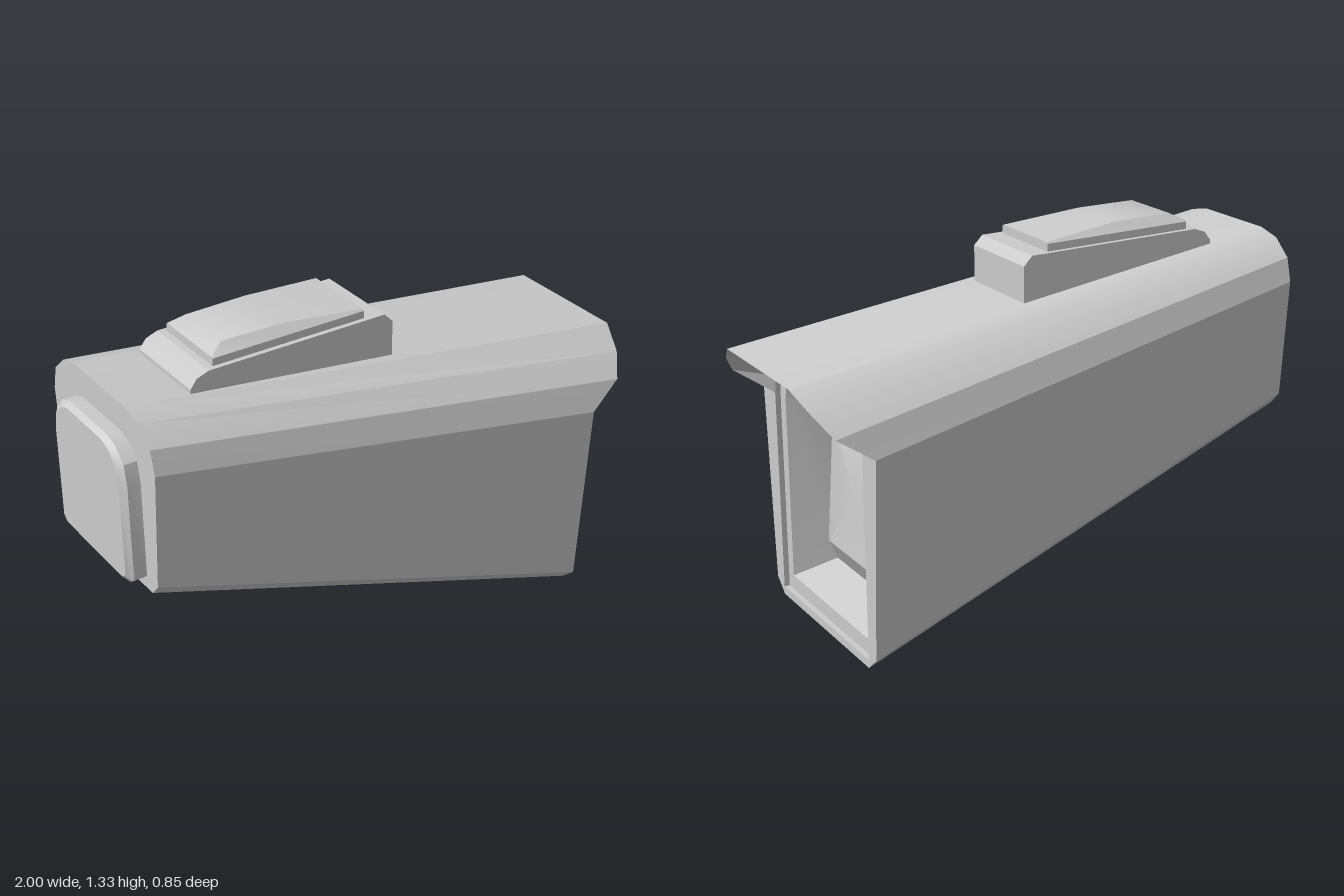
import * as THREE from 'three';
import { toCreasedNormals } from 'three/addons/utils/BufferGeometryUtils.js';

const grey = new THREE.MeshStandardMaterial({ color: 0xcccccc });

// Half section [z, y, x?] running bottom to top, mirrored into a full section.
function section(x, half) {
  const left = half.map(([z, y, px = x]) => [px, y, z]);
  return [...left, ...left.slice().reverse().map(([a, b, c]) => [a, b, -c])];
}

// A section collapsed to one point, used to cap an end.
const tip = (n, x, y) => Array.from({ length: n }, () => [x, y, 0]);

// Skin consecutive sections; keep(j) picks which strips around the section are built.
function loft(name, rings, crease = 0.5, keep = () => true) {
  const pos = [];
  const tri = (a, b, c) => {
    const u = new THREE.Vector3(...b).sub(new THREE.Vector3(...a));
    const v = new THREE.Vector3(...c).sub(new THREE.Vector3(...a));
    if (u.cross(v).length() > 1e-8) pos.push(...a, ...b, ...c);
  };
  for (let i = 0; i + 1 < rings.length; i++) {
    const a = rings[i], b = rings[i + 1], n = a.length;
    for (let j = 0; j < n; j++) {
      if (!keep(j)) continue;
      const k = (j + 1) % n;
      tri(a[j], a[k], b[k]);
      tri(a[j], b[k], b[j]);
    }
  }
  const geo = new THREE.BufferGeometry();
  geo.setAttribute('position', new THREE.Float32BufferAttribute(pos, 3));
  const mesh = new THREE.Mesh(toCreasedNormals(geo, crease), grey);
  mesh.name = name;
  return mesh;
}

export function createModel() {
  const group = new THREE.Group();
  group.name = 'cameraHousing';

  // Tapering outer shell; the front edge of the roof reaches forward as a hood
  const front = section(0.795, [
    [0.33, 0.005], [0.385, 0.055], [0.425, 0.78],
    [0.4, 0.865, 0.92], [0.335, 0.935, 0.968], [0.24, 1.0, 1.0],
  ]);
  const back = section(-0.935, [
    [0.27, 0.6], [0.31, 0.645], [0.34, 1.08],
    [0.318, 1.165], [0.25, 1.225], [0.165, 1.245],
  ]);
  const isRoof = (j) => j >= 3 && j <= 7;
  group.add(loft('shellSides', [front, back], 0.1, (j) => !isRoof(j)));
  group.add(loft('shellRoof', [front, back], 0.55, isRoof));

  // Window frame, underside of the hood and the recess behind it
  const frameHalf = [
    [0.33, 0.035], [0.33, 0.05], [0.33, 0.78], [0.315, 0.845], [0.28, 0.885], [0.23, 0.9],
  ];
  const frame = section(0.795, frameHalf);
  const frameStep = section(0.775, frameHalf);
  const mouth = section(0.775, [
    [0.29, 0.09], [0.29, 0.1], [0.29, 0.77], [0.275, 0.82], [0.245, 0.85], [0.2, 0.86],
  ]);
  const recess = section(0.62, [
    [0.245, 0.14], [0.245, 0.15], [0.245, 0.68], [0.235, 0.72], [0.215, 0.75], [0.18, 0.76],
  ]);
  group.add(loft('hoodUnderside', [frame, front], 0.3));
  group.add(loft('windowFrame', [mouth, frameStep, frame], 0.3));
  group.add(loft('recessWalls', [recess, mouth], 0.6));

  // Slightly bulging window with a bevelled lower edge
  const pane = section(0.64, [
    [0.18, 0.245, 0.68], [0.195, 0.26, 0.675], [0.2, 0.65],
    [0.195, 0.69], [0.18, 0.707], [0.16, 0.715],
  ]);
  group.add(loft('window', [tip(12, 0.67, 0.48), pane, recess], 0.55));

  // Rear wall and its raised, rounded panel
  const panelHalf = [
    [0.215, 0.63], [0.24, 0.65], [0.24, 1.01], [0.225, 1.08], [0.18, 1.125], [0.13, 1.143],
  ];
  const panelBase = section(-0.935, panelHalf);
  const panelEdge = section(-0.982, panelHalf);
  const panelFace = section(-1, panelHalf.map(([z, y]) => [z * 0.9, 0.89 + (y - 0.89) * 0.94]));
  group.add(loft('rearWall', [back, panelBase], 0.3));
  group.add(loft('rearPanel', [panelBase, panelEdge, panelFace, tip(12, -1, 0.89)], 0.55));

  // Mounting block on the roof
  const profile = new THREE.Shape([
    [-0.7, 1.1], [0.085, 1.05], [0.085, 1.245], [0.052, 1.278],
    [-0.63, 1.278], [-0.675, 1.262], [-0.7, 1.23],
  ].map(([x, y]) => new THREE.Vector2(x, y)));
  const blockGeo = new THREE.ExtrudeGeometry(profile, { depth: 0.33, bevelEnabled: false });
  blockGeo.translate(0, 0, -0.165);
  const block = new THREE.Mesh(blockGeo, grey);
  block.name = 'roofBlock';
  group.add(block);

  // Crowned pad on the block: [x, crown half width, crown height]
  const pad = [
    [-0.02, 0.14, 1.31], [-0.32, 0.118, 1.337], [-0.55, 0.112, 1.337], [-0.605, 0.14, 1.308],
  ].map(([x, w, h]) => section(x, [[0.147, 1.27], [0.147, 1.305], [w, h]]));
  group.add(loft('roofPad', [tip(6, -0.02, 1.29), ...pad, tip(6, -0.605, 1.29)], 0.5));

  return group;
}
